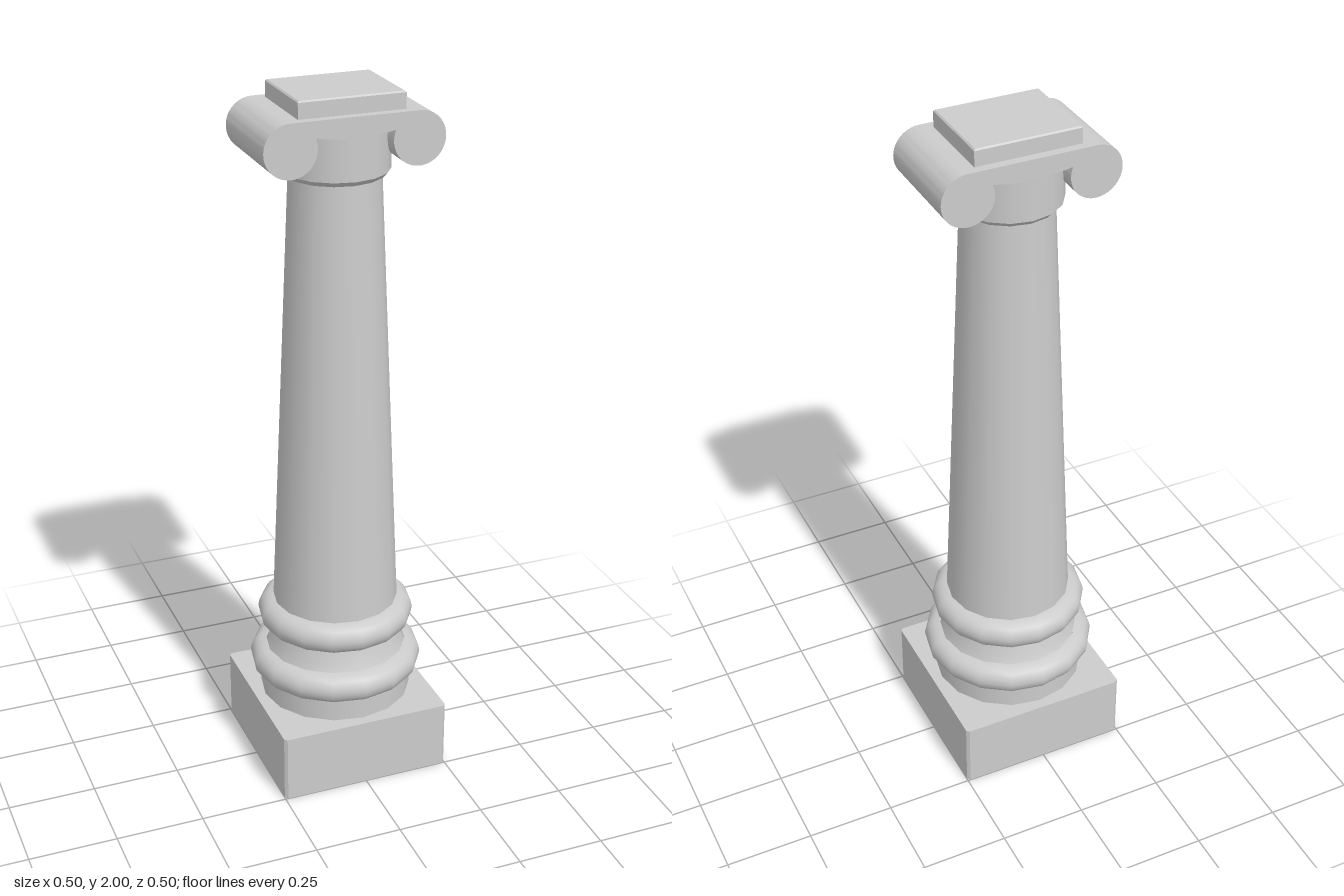
import * as THREE from 'three';
import { toCreasedNormals } from 'three/addons/utils/BufferGeometryUtils.js';

const SIDES = 16;

export function createModel() {
  const column = new THREE.Group();
  column.name = 'column';
  const solid = new THREE.MeshStandardMaterial({ color: 0xcccccc });
  const open = new THREE.MeshStandardMaterial({ color: 0xcccccc, side: THREE.DoubleSide });

  const add = (name, geometry, material = solid) => {
    const mesh = new THREE.Mesh(geometry, material);
    mesh.name = name;
    column.add(mesh);
    return mesh;
  };
  // Round part turned from [radius, height] pairs, listed bottom to top
  const turn = (name, points) =>
    add(name, new THREE.LatheGeometry(points.map(([r, y]) => new THREE.Vector2(r, y)), SIDES), open);
  // Half-round moulding profile bulging outward
  const bulge = (radius, y, r) => Array.from({ length: 9 }, (_, i) => {
    const a = -Math.PI / 2 + (i / 8) * Math.PI;
    return [radius + r * Math.cos(a), y + r * Math.sin(a)];
  });
  // Square outline with clipped corners
  const clippedSquare = (h, c) => [
    [h, -h + c], [h, h - c], [h - c, h], [-h + c, h],
    [-h, h - c], [-h, -h + c], [-h + c, -h], [h - c, -h],
  ].map(([x, y]) => new THREE.Vector2(x, y));

  // Plinth: hollow walls, open underneath
  const outline = clippedSquare(0.25, 0.008);
  const position = [];
  outline.forEach((a, i) => {
    const b = outline[(i + 1) % outline.length];
    position.push(a.x, 0, -a.y, b.x, 0, -b.y, b.x, 0.2, -b.y);
    position.push(a.x, 0, -a.y, b.x, 0.2, -b.y, a.x, 0.2, -a.y);
  });
  const walls = new THREE.BufferGeometry();
  walls.setAttribute('position', new THREE.Float32BufferAttribute(position, 3));
  walls.computeVertexNormals();
  add('plinthWalls', walls, open);

  // Plinth top, opening into the hollow round base
  const topShape = new THREE.Shape(outline);
  topShape.holes.push(new THREE.Path(Array.from({ length: SIDES }, (_, i) => {
    const a = (-i / SIDES) * Math.PI * 2;
    return new THREE.Vector2(0.22 * Math.cos(a), 0.22 * Math.sin(a));
  })));
  const top = new THREE.ShapeGeometry(topShape);
  top.rotateX(-Math.PI / 2).translate(0, 0.2, 0);
  add('plinthTop', top, open);

  // Round base mouldings and tapering shaft
  turn('baseDrum', [[0.22, 0.2], [0.22, 0.265]]);
  turn('lowerTorus', bulge(0.205, 0.305, 0.045));
  turn('baseHollow', [[0.203, 0.345], [0.19, 0.375], [0.18, 0.415]]);
  turn('upperTorus', bulge(0.18, 0.455, 0.045));
  turn('shaft', [[0.18, 0.495], [0.125, 1.77]]);

  // Capital neck with a flared underside
  turn('neckFlare', [[0.125, 1.765], [0.135, 1.768], [0.148, 1.782]]);
  turn('neck', [[0.148, 1.782], [0.148, 1.92]]);

  // Scroll block: two round ends joined by a sagging band
  const cx = 0.177, cy = 1.88, r = 0.073, notch = 0.4;
  const scroll = new THREE.Shape();
  scroll.moveTo(cx, cy + r);
  scroll.lineTo(-cx, cy + r);
  scroll.absarc(-cx, cy, r, Math.PI / 2, Math.PI * 2 + notch, false);
  scroll.quadraticCurveTo(0, 1.886, cx - r * Math.cos(notch), cy + r * Math.sin(notch));
  scroll.absarc(cx, cy, r, Math.PI - notch, Math.PI * 2.5, false);
  const scrollGeometry = new THREE.ExtrudeGeometry(scroll, {
    depth: 0.296, curveSegments: 20, bevelEnabled: false,
  });
  scrollGeometry.translate(0, 0, -0.148);
  add('scrolls', toCreasedNormals(scrollGeometry, 0.6));

  // Abacus slab with a narrow chamfer
  const b = 0.004;
  const slab = new THREE.Shape();
  const hx = 0.148 - b, hz = 0.123 - b;
  slab.moveTo(-hx, -hz).lineTo(hx, -hz).lineTo(hx, hz).lineTo(-hx, hz);
  const abacus = new THREE.ExtrudeGeometry(slab, {
    depth: 0.052, bevelSize: b, bevelThickness: b, bevelSegments: 1,
  });
  abacus.rotateX(-Math.PI / 2).translate(0, 2 - 0.052 - b, 0);
  add('abacus', abacus);

  return column;
}
